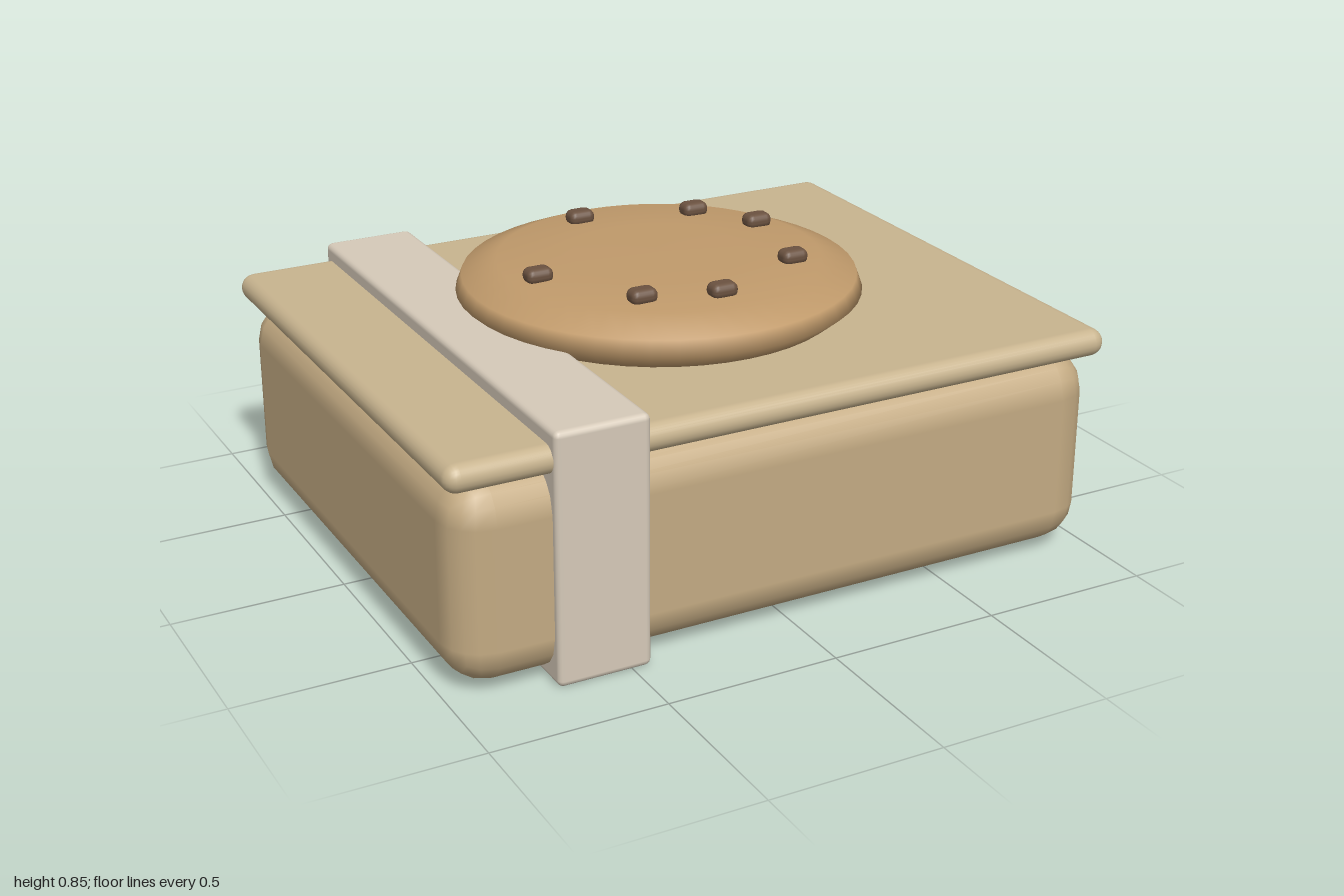
import * as THREE from 'three';
import { RoundedBoxGeometry } from 'three/addons/geometries/RoundedBoxGeometry.js';

const COLORS = { box: 0xc4ab83, lid: 0xc8b48f, strap: 0xd6cab9, cookie: 0xc09a6b, chip: 0x6b5240 };

function addMesh(parent, name, geometry, color, x = 0, y = 0, z = 0) {
  const mesh = new THREE.Mesh(geometry, new THREE.MeshStandardMaterial({ color }));
  mesh.name = name;
  mesh.position.set(x, y, z);
  parent.add(mesh);
  return mesh;
}

export function createModel() {
  const model = new THREE.Group();
  model.name = 'cookieBox';

  // Box body with soft corners, and the thin overhanging lid
  addMesh(model, 'boxBody', new RoundedBoxGeometry(1.97, 0.585, 1.57, 2, 0.12), COLORS.box, 0, 0.3105);
  addMesh(model, 'lid', new RoundedBoxGeometry(2, 0.08, 1.59, 3, 0.04), COLORS.lid, 0, 0.635);

  // Band wrapped around the box
  addMesh(model, 'strap', new RoundedBoxGeometry(0.27, 0.72, 1.615, 2, 0.018), COLORS.strap, -0.58, 0.36);

  // Domed cookie: bottom centre, rim, then up to the top centre
  const profile = [[0, 0.682], [0.525, 0.682], [0.583, 0.73], [0.566, 0.775], [0.465, 0.815], [0.25, 0.823], [0, 0.825]]
    .map(([r, y]) => new THREE.Vector2(r, y));
  addMesh(model, 'cookie', new THREE.LatheGeometry(profile, 48), COLORS.cookie);

  // Chips scattered on the cookie
  const chips = new THREE.Group();
  chips.name = 'chips';
  model.add(chips);
  const chipGeometry = new RoundedBoxGeometry(0.08, 0.045, 0.06, 2, 0.02);
  const spots = [[-0.07, -0.37], [0.265, -0.28], [0.38, -0.1], [0.31, 0.225], [0, 0.37], [-0.215, 0.31], [-0.395, 0.03]];
  for (const [x, z] of spots) addMesh(chips, 'chip', chipGeometry, COLORS.chip, x, 0.831, z);

  return model;
}
